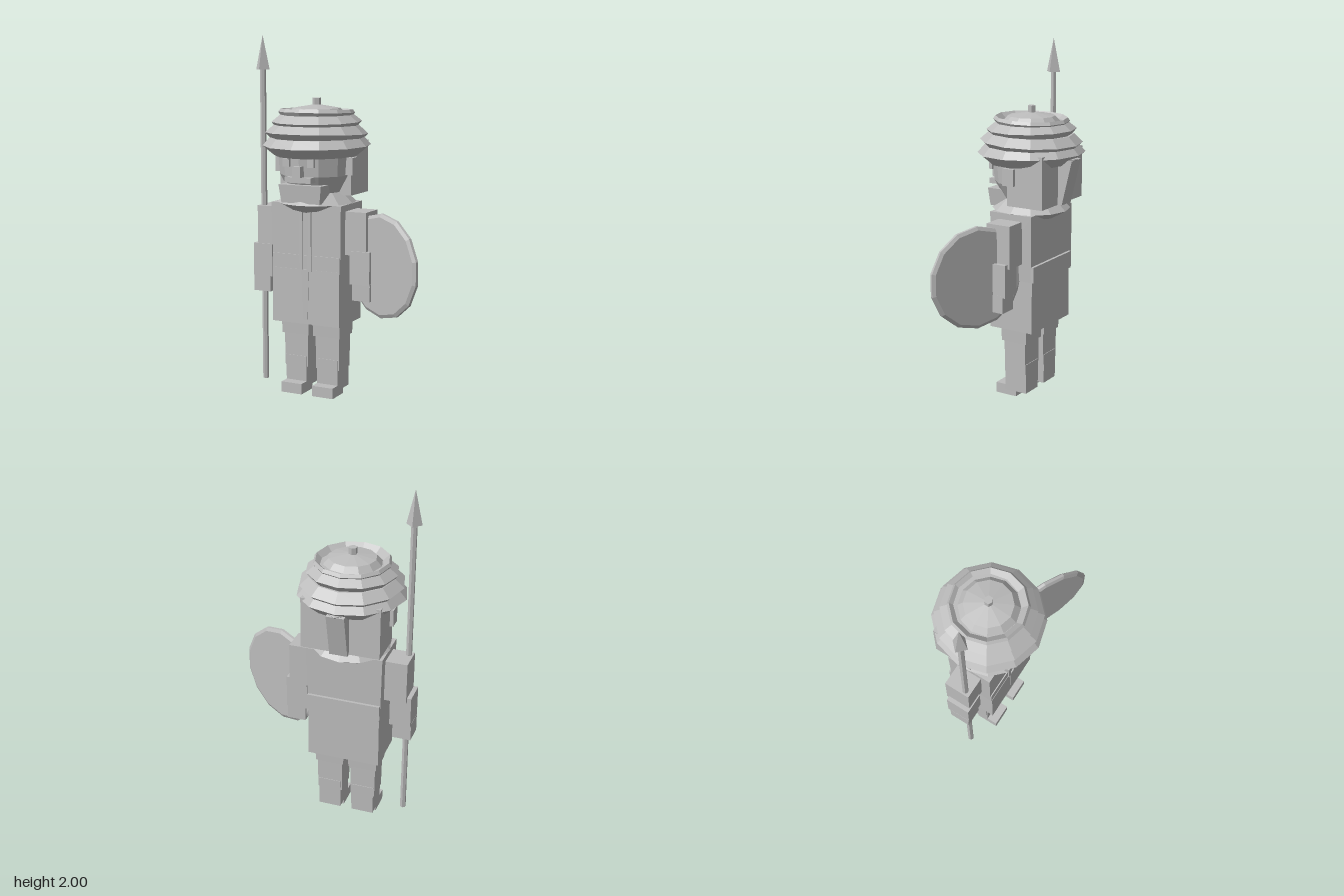
import * as THREE from 'three';

const stone = new THREE.MeshStandardMaterial({ color: 0xbcbcbc });
stone.name = 'grey stone';

// Faceted mesh with hard edges
function part(parent, name, geometry, x = 0, y = 0, z = 0) {
  const flat = geometry.index ? geometry.toNonIndexed() : geometry;
  flat.computeVertexNormals();
  const mesh = new THREE.Mesh(flat, stone);
  mesh.name = name;
  mesh.position.set(x, y, z);
  parent.add(mesh);
  return mesh;
}

// Box given by its limits; taper scales the lower end in x and z
function block(parent, name, [x0, x1], [y0, y1], [z0, z1], taper = 1) {
  const g = new THREE.BoxGeometry(x1 - x0, y1 - y0, z1 - z0);
  const p = g.attributes.position;
  for (let i = 0; i < p.count; i++) {
    if (p.getY(i) < 0) p.setXYZ(i, p.getX(i) * taper, p.getY(i), p.getZ(i) * taper);
  }
  return part(parent, name, g, (x0 + x1) / 2, (y0 + y1) / 2, (z0 + z1) / 2);
}

// Turned shape from [radius, height] points, listed from the bottom up
function turned(parent, name, points, sides = 12) {
  return part(parent, name, new THREE.LatheGeometry(points.map(p => new THREE.Vector2(...p)), sides));
}

function buildHead(body) {
  const head = new THREE.Group();
  head.name = 'head';
  body.add(head);

  turned(head, 'face', [[0, 1.12], [0.15, 1.14], [0.205, 1.24], [0.215, 1.37], [0, 1.37]]);
  block(head, 'hair', [-0.22, 0.22], [1.13, 1.42], [-0.2, 0.02]);
  block(head, 'nose', [-0.025, 0.025], [1.24, 1.3], [0.18, 0.243]);
  block(head, 'moustache', [-0.08, 0.08], [1.21, 1.24], [0.17, 0.228]);
  block(head, 'beard', [-0.13, 0.13], [1.095, 1.195], [0.04, 0.205], 0.9);
  for (const s of [-1, 1]) {
    const eye = block(head, 'eye', [-0.019, 0.019], [1.295, 1.34], [0.2, 0.22]);
    eye.position.x = s * 0.075;
    const ear = block(head, 'ear', [-0.035, 0.035], [1.245, 1.34], [-0.03, 0.04]);
    ear.position.x = s * 0.205;
  }

  // Turban: stacked, slightly tilted wraps around a low dome
  const wraps = [
    [[0.17, 1.35], [0.235, 1.345], [0.3, 1.4], [0.26, 1.445], [0.17, 1.445]],
    [[0.17, 1.43], [0.25, 1.43], [0.285, 1.465], [0.235, 1.51], [0.17, 1.51]],
    [[0.15, 1.5], [0.225, 1.5], [0.25, 1.53], [0.2, 1.57], [0.15, 1.57]],
    [[0.14, 1.55], [0.195, 1.555], [0.212, 1.58], [0.2, 1.597], [0.165, 1.565]],
  ];
  wraps.forEach((points, i) => {
    const wrap = turned(head, 'turbanWrap', points);
    const y = points[2][1];
    wrap.geometry.translate(0, -y, 0);
    wrap.position.y = y;
    wrap.rotation.x = i % 2 ? -0.03 : 0.02;
  });
  turned(head, 'turbanDome', [[0.165, 1.55], [0.165, 1.565], [0.13, 1.603], [0, 1.625]]);
  part(head, 'turbanKnob', new THREE.CylinderGeometry(0.024, 0.024, 0.05, 6), 0, 1.633, 0);

  // Knot and hanging cloth at the back
  const knot = part(head, 'turbanKnot', new THREE.OctahedronGeometry(1), 0, 1.385, -0.215);
  knot.scale.set(0.11, 0.075, 0.08);
  const side = new THREE.Shape([[0.18, 1.4], [0.285, 1.38], [0.225, 1.13], [0.18, 1.13]]
    .map(([z, y]) => new THREE.Vector2(z, y)));
  const cloth = new THREE.ExtrudeGeometry(side, { depth: 0.1, bevelEnabled: false });
  cloth.translate(0, 0, -0.05).rotateY(Math.PI / 2);
  part(head, 'turbanCloth', cloth);
}

function buildBody(model) {
  const body = new THREE.Group();
  body.name = 'body';
  body.position.x = -0.16;
  model.add(body);

  // Coat, sash and scarf
  block(body, 'chest', [-0.215, 0.215], [0.71, 1.085], [-0.13, 0.135], 0.97);
  block(body, 'coatSkirt', [-0.205, 0.205], [0.413, 0.72], [-0.13, 0.14], 1.01);
  block(body, 'sash', [-0.208, 0.208], [0.71, 0.8], [-0.143, 0.138]);
  turned(body, 'scarf', [[0, 1.028], [0.12, 1.028], [0.22, 1.085], [0.15, 1.15], [0, 1.15]]);
  for (const s of [-1, 1]) {
    const trim = block(body, 'coatTrim', [-0.01, 0.01], [0.71, 1.04], [0.136, 0.145]);
    trim.position.x = s * 0.026;
  }
  block(body, 'sashEnd', [-0.022, 0.022], [0.44, 0.72], [0.136, 0.145], 0.6);

  // Legs and shoes
  for (const s of [-1, 1]) {
    const leg = new THREE.Group();
    leg.name = s < 0 ? 'rightLeg' : 'leftLeg';
    leg.position.x = s * 0.098;
    body.add(leg);
    block(leg, 'thigh', [-0.085, 0.085], [0.333, 0.43], [-0.08, 0.085], 0.97);
    block(leg, 'shin', [-0.074, 0.074], [0.145, 0.335], [-0.068, 0.07], 0.97);
    block(leg, 'boot', [-0.066, 0.066], [0.03, 0.205], [-0.07, 0.072], 0.97);
    block(leg, 'shoe', [-0.064, 0.064], [0, 0.06], [0, 0.132]);
  }

  // Arms
  for (const s of [-1, 1]) {
    const arm = new THREE.Group();
    arm.name = s < 0 ? 'rightArm' : 'leftArm';
    arm.position.x = s * 0.3;
    body.add(arm);
    block(arm, 'upperArm', [-0.09, 0.035], [0.81, 1.05], [-0.07, 0.078]).position.x = -s * 0.025;
    block(arm, 'forearm', [-0.06, 0.06], [0.65, 0.835], [-0.055, 0.085]).position.x = s * 0.002;
    block(arm, 'hand', [-0.053, 0.053], [0.56, 0.66], [-0.04, 0.08]).position.x = s * 0.01;
  }
  buildHead(body);
}

export function createModel() {
  const model = new THREE.Group();
  model.name = 'guard';
  buildBody(model);

  // Spear in the right hand
  const spear = new THREE.Group();
  spear.name = 'spear';
  spear.position.set(-0.473, 0, 0.045);
  model.add(spear);
  part(spear, 'spearShaft', new THREE.CylinderGeometry(0.017, 0.017, 1.78, 6), 0, 0.93, 0);
  part(spear, 'spearHead', new THREE.ConeGeometry(0.043, 0.19, 4), 0, 1.905, 0);

  // Round shield on the left arm, turned outward
  const shield = turned(model, 'shield',
    [[0, -0.018], [0.268, -0.018], [0.287, -0.008], [0.287, 0.008], [0.268, 0.018], [0, 0.018]], 14);
  shield.geometry.rotateX(Math.PI / 2);
  shield.position.set(0.275, 0.767, 0.078);
  shield.rotation.y = -0.44;

  return model;
}
